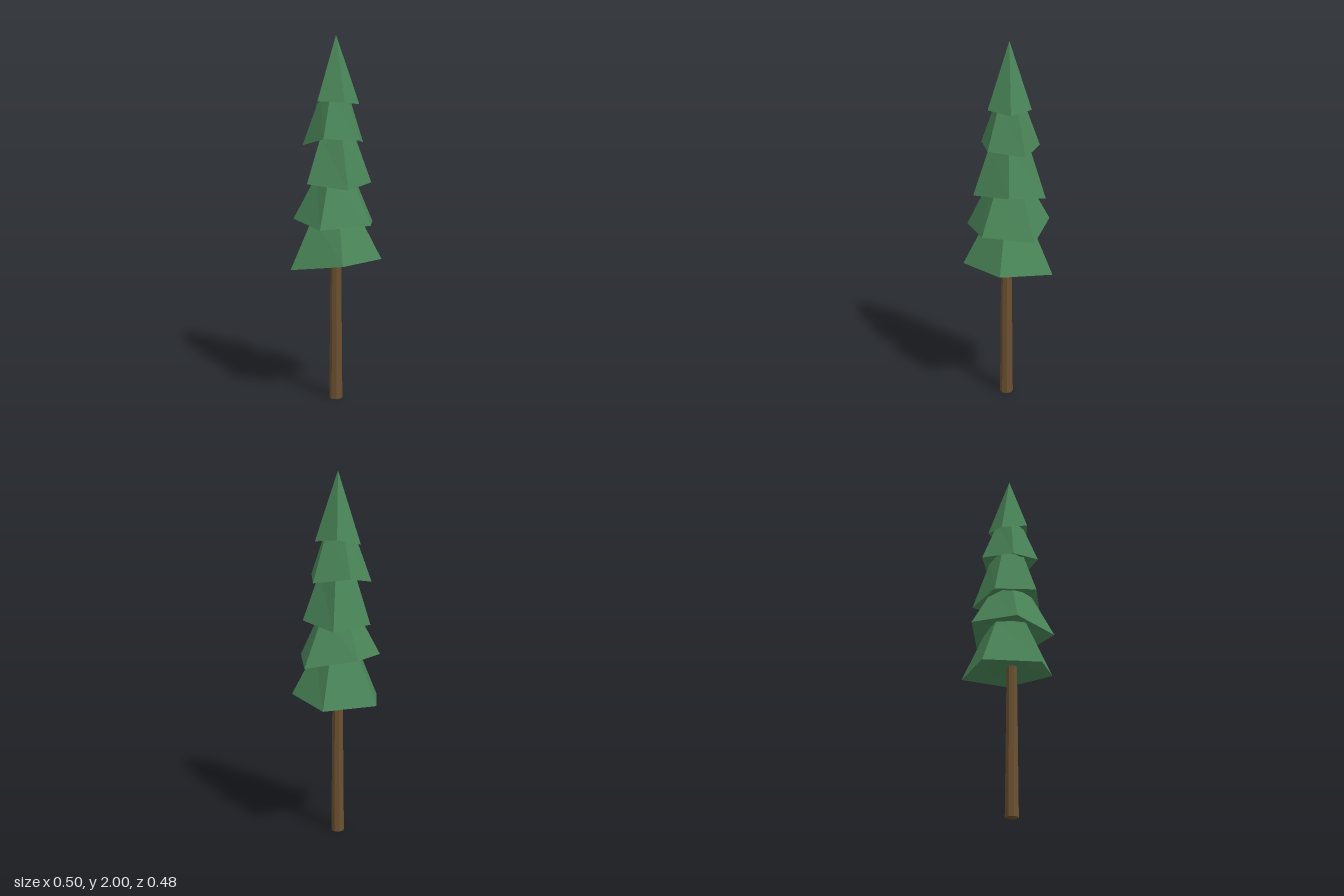
import * as THREE from 'three';

// Each tier: five rim corners [x, y, z] in order around the trunk, top height, top scale
const TIERS = [
  { rim: [[0.247, 0.80, 0.05], [0.018, 0.80, 0.237], [-0.25, 0.755, 0.085], [-0.157, 0.77, -0.208], [0.147, 0.77, -0.24]], top: 1.04, scale: 0.5 },
  { rim: [[0.22, 0.98, -0.135], [0.175, 1.0, 0.14], [-0.10, 0.99, 0.21], [-0.227, 1.015, -0.04], [-0.045, 1.03, -0.24]], top: 1.25, scale: 0.46 },
  { rim: [[0.195, 1.215, 0], [0.05, 1.195, 0.18], [-0.16, 1.22, 0.09], [-0.14, 1.2, -0.14], [0.08, 1.18, -0.205]], top: 1.47, scale: 0.52 },
  { rim: [[0.16, 1.425, -0.09], [0.12, 1.45, 0.105], [-0.075, 1.46, 0.13], [-0.175, 1.415, -0.045], [-0.02, 1.45, -0.18]], top: 1.69, scale: 0.45 },
  { rim: [[0.13, 1.635, -0.015], [0.04, 1.65, 0.10], [-0.10, 1.655, 0.06], [-0.10, 1.62, -0.09], [0.04, 1.65, -0.13]], top: 2, scale: 0 },
];
const AXIS = [0.004, -0.015];

// Pull a rim corner toward the axis and set its height
const inset = ([x, , z], s, y) => [AXIS[0] + (x - AXIS[0]) * s, y, AXIS[1] + (z - AXIS[1]) * s];

function tierGeometry({ rim, top, scale }) {
  const n = rim.length;
  const hollowY = rim.reduce((sum, p) => sum + p[1], 0) / n + 0.035;
  // Cross-sections from the underside centre, out to the rim, up to the top centre
  const rings = [
    rim.map(p => inset(p, 0, hollowY)),
    rim.map(p => inset(p, 0.5, hollowY)),
    rim,
    rim.map(p => inset(p, scale, top)),
  ];
  if (scale > 0) rings.push(rim.map(p => inset(p, 0, top)));
  const pos = [];
  for (let r = 0; r < rings.length - 1; r++) {
    const lo = rings[r], hi = rings[r + 1];
    for (let i = 0; i < n; i++) {
      const j = (i + 1) % n;
      const loPoint = r === 0, hiPoint = r === rings.length - 2;
      if (!hiPoint) pos.push(...lo[i], ...hi[i], ...hi[j]);
      if (!loPoint) pos.push(...lo[i], ...hi[j], ...lo[j]);
    }
  }
  const geo = new THREE.BufferGeometry();
  geo.setAttribute('position', new THREE.Float32BufferAttribute(pos, 3));
  geo.computeVertexNormals();
  return geo;
}

export function createModel() {
  const tree = new THREE.Group();
  tree.name = 'pineTree';

  // Slim, slightly tapered trunk
  const bark = new THREE.MeshStandardMaterial({ color: 0x6b5030, flatShading: true });
  const trunk = new THREE.Mesh(new THREE.CylinderGeometry(0.029, 0.037, 0.85, 8), bark);
  trunk.name = 'trunk';
  trunk.position.set(0.002, 0.425, 0);
  tree.add(trunk);

  // Stacked skirts of foliage
  const needles = new THREE.MeshStandardMaterial({ color: 0x4a8558, flatShading: true });
  const foliage = new THREE.Group();
  foliage.name = 'foliage';
  TIERS.forEach((tier, i) => {
    const mesh = new THREE.Mesh(tierGeometry(tier), needles);
    mesh.name = `foliageTier${i + 1}`;
    foliage.add(mesh);
  });
  tree.add(foliage);
  return tree;
}
